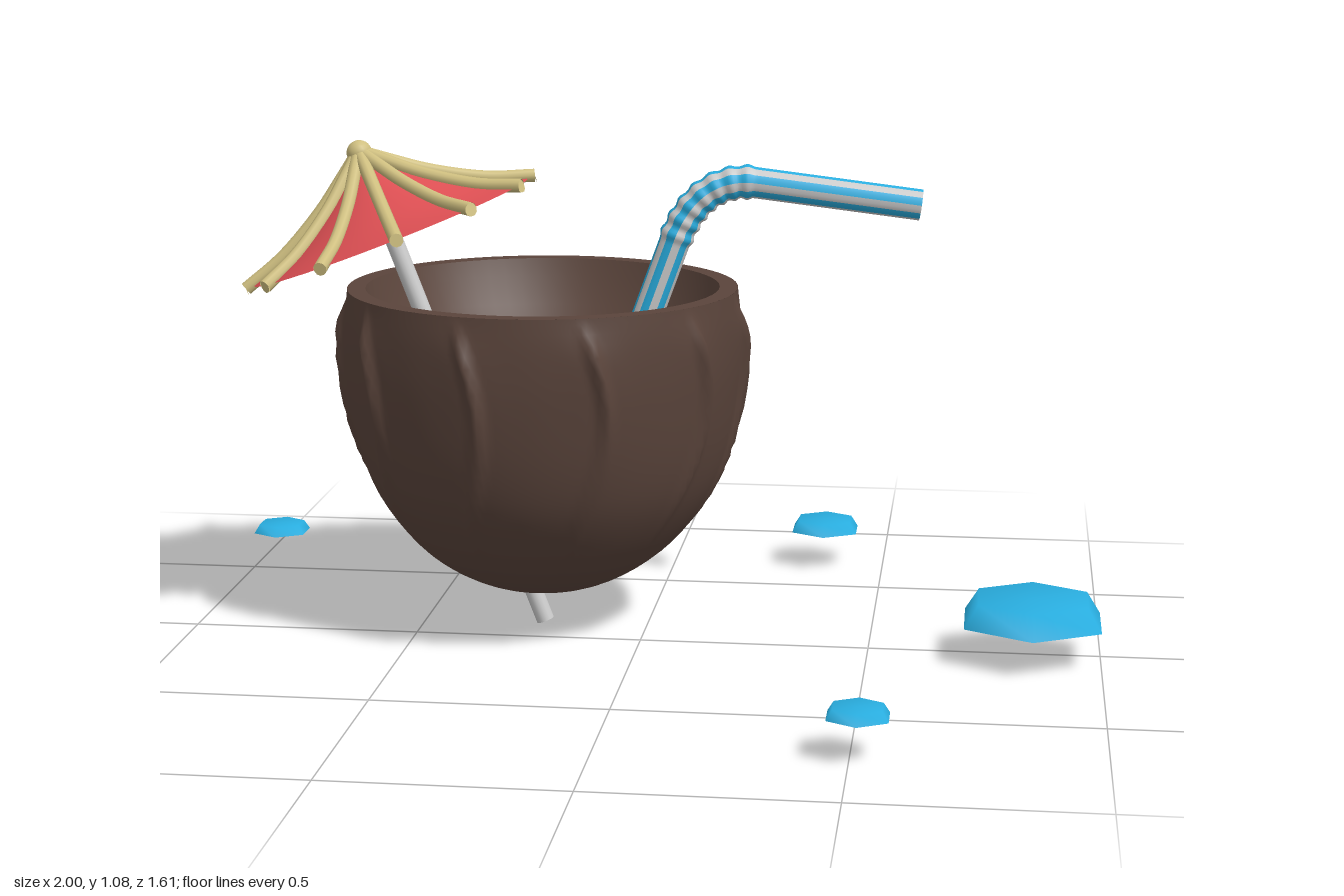
import * as THREE from 'three';
import { mergeVertices } from 'three/addons/utils/BufferGeometryUtils.js';

const V = (x, y, z) => new THREE.Vector3(x, y, z);
const mat = (color) => new THREE.MeshStandardMaterial({ color, side: THREE.DoubleSide });
const brown = mat(0x5a443b), orange = mat(0xcf8250), red = mat(0xdf5054);
const cream = mat(0xcfbf80), blue = mat(0x29aee0), grey = mat(0xcccccc);

function add(parent, name, geometry, material) {
  const mesh = new THREE.Mesh(geometry, material);
  mesh.name = name;
  parent.add(mesh);
  return mesh;
}

const lathe = (pts, segments) =>
  new THREE.LatheGeometry(pts.map(([x, y]) => new THREE.Vector2(x, y)), segments);

// Outer shell: a turned bowl with thin fibre ridges running down it
function shellGeometry() {
  const profile = new THREE.SplineCurve([
    [0, 0.08], [0.1, 0.085], [0.2, 0.125], [0.29, 0.195], [0.37, 0.305],
    [0.41, 0.42], [0.432, 0.57], [0.436, 0.68], [0.43, 0.76],
  ].map(([x, y]) => new THREE.Vector2(x, y))).getPoints(32);
  profile[0].x = 0;
  let g = new THREE.LatheGeometry(profile, 240);
  g.deleteAttribute('normal');
  g.deleteAttribute('uv');
  g = mergeVertices(g, 1e-5);
  const ridges = [100, 65, 35, -3, -33, -68, -104, -140, 184, 142].map(THREE.MathUtils.degToRad);
  const p = g.attributes.position;
  for (let i = 0; i < p.count; i++) {
    const x = p.getX(i), y = p.getY(i), z = p.getZ(i), r = Math.hypot(x, z);
    if (r < 1e-4) continue;
    const a = Math.atan2(-z, x) + 0.08 * Math.sin(y * 9);
    const fade = THREE.MathUtils.smoothstep(y, 0.09, 0.6) * (1 - THREE.MathUtils.smoothstep(y, 0.66, 0.755));
    let bump = 0;
    for (const c of ridges) {
      const d = Math.atan2(Math.sin(a - c), Math.cos(a - c));
      bump += 0.019 * Math.exp(-((d / 0.03) ** 2)) + 0.007 * Math.exp(-((d / 0.14) ** 2));
    }
    const s = 1 + (bump * fade) / r;
    p.setXYZ(i, x * s, y, z * s);
  }
  g.computeVertexNormals();
  return g;
}

function coconut() {
  const bowl = new THREE.Group();
  bowl.name = 'coconutBowl';
  add(bowl, 'shell', shellGeometry(), brown);
  add(bowl, 'rim', lathe([[0.43, 0.76], [0.39, 0.76]], 64), brown);
  add(bowl, 'innerWall', lathe([[0.39, 0.76], [0.375, 0.72], [0.345, 0.66], [0.305, 0.61]], 64), brown);
  const drink = add(bowl, 'drink', new THREE.CircleGeometry(0.315, 48), orange);
  drink.rotation.x = -Math.PI / 2;
  drink.position.y = 0.62;
  bowl.position.set(-0.235, 0, -0.145);
  return bowl;
}

// Bendy straw: one tube, corrugated at the elbow, split into two sets of stripes
function straw() {
  const group = new THREE.Group();
  group.name = 'straw';
  const base = V(-0.225, 0.09, -0.145), bendStart = V(0.055, 0.86, -0.16);
  const bendEnd = V(0.23, 0.992, -0.175), tip = V(0.59, 0.945, -0.205);
  const path = new THREE.CurvePath();
  path.add(new THREE.LineCurve3(base, bendStart));
  path.add(new THREE.QuadraticBezierCurve3(bendStart, V(0.108, 1.005, -0.165), bendEnd));
  path.add(new THREE.LineCurve3(bendEnd, tip));
  const lengths = path.getCurveLengths();
  const total = lengths[2], N = 240, R = 24;
  const tube = new THREE.TubeGeometry(path, N, 0.034, R);
  const p = tube.attributes.position, v = V(0, 0, 0);
  for (let j = 0; j <= N; j++) {
    const t = ((j / N) * total - lengths[0]) / (lengths[1] - lengths[0]);
    if (t < 0 || t > 1) continue;
    const centre = path.getPointAt(j / N);
    const s = 1 + 0.16 * Math.sin(t * Math.PI * 7) ** 2;
    for (let i = 0; i <= R; i++) {
      const k = j * (R + 1) + i;
      v.fromBufferAttribute(p, k).sub(centre).multiplyScalar(s).add(centre);
      p.setXYZ(k, v.x, v.y, v.z);
    }
  }
  tube.computeVertexNormals();
  const stripes = [[], []], index = tube.index.array;
  for (let k = 0; k < index.length; k++) {
    stripes[Math.floor((Math.floor(k / 6) % R) / 2) % 2].push(index[k]);
  }
  stripes.forEach((list, n) => {
    const g = tube.clone();
    g.setIndex(list);
    add(group, n ? 'strawGreyStripes' : 'strawBlueStripes', g, n ? grey : blue);
  });
  return group;
}

// Paper umbrella, built upright around its rim centre and then tilted
function umbrella() {
  const group = new THREE.Group();
  group.name = 'umbrella';
  const outline = [[0.34, 0.0], [0.24, 0.035], [0.13, 0.095], [0.06, 0.145], [0.0, 0.19]];
  const curve = new THREE.SplineCurve(outline.map(([x, y]) => new THREE.Vector2(x, y)));
  const cover = curve.getPoints(16).filter((q) => q.x < 0.33);
  add(group, 'canopy', new THREE.LatheGeometry(cover, 48), red);

  const ribPath = new THREE.CatmullRomCurve3(outline.map(([x, y]) => V(x, y + 0.006, 0)));
  const ribGeometry = new THREE.TubeGeometry(ribPath, 20, 0.015, 10);
  const capGeometry = new THREE.CircleGeometry(0.015, 10);
  for (let i = 0; i < 12; i++) {
    const rib = new THREE.Group();
    rib.name = 'rib';
    add(rib, 'ribRod', ribGeometry, cream);
    const cap = add(rib, 'ribEnd', capGeometry, cream);
    cap.position.set(0.34, 0.006, 0);
    cap.rotation.set(0, Math.PI / 2, 0);
    rib.rotation.y = ((i + 0.5) / 12) * Math.PI * 2;
    group.add(rib);
  }
  add(group, 'knob', new THREE.SphereGeometry(0.028, 20, 14), cream).position.y = 0.192;
  const stick = add(group, 'stick', new THREE.CylinderGeometry(0.02, 0.02, 1.11, 16), grey);
  stick.position.y = 0.18 - 1.11 / 2;
  group.position.set(-0.565, 0.873, -0.11);
  group.rotation.z = 0.37;
  return group;
}

// Six-sided water drops, open underneath
function waterDrops() {
  const group = new THREE.Group();
  group.name = 'waterDrops';
  const shape = lathe([[1, 0], [0.8, 0.3], [0, 0.3]], 6);
  for (const [x, z, r] of [[0.853, 0.025, 0.168], [0.36, -0.72, 0.088], [-0.94, -0.54, 0.069], [0.515, 0.735, 0.07]]) {
    const drop = add(group, 'waterDrop', shape, blue);
    drop.scale.setScalar(r);
    drop.position.set(x, 0.08, z);
  }
  return group;
}

export function createModel() {
  const model = new THREE.Group();
  model.name = 'coconutDrink';
  model.add(coconut(), straw(), umbrella(), waterDrops());
  return model;
}
